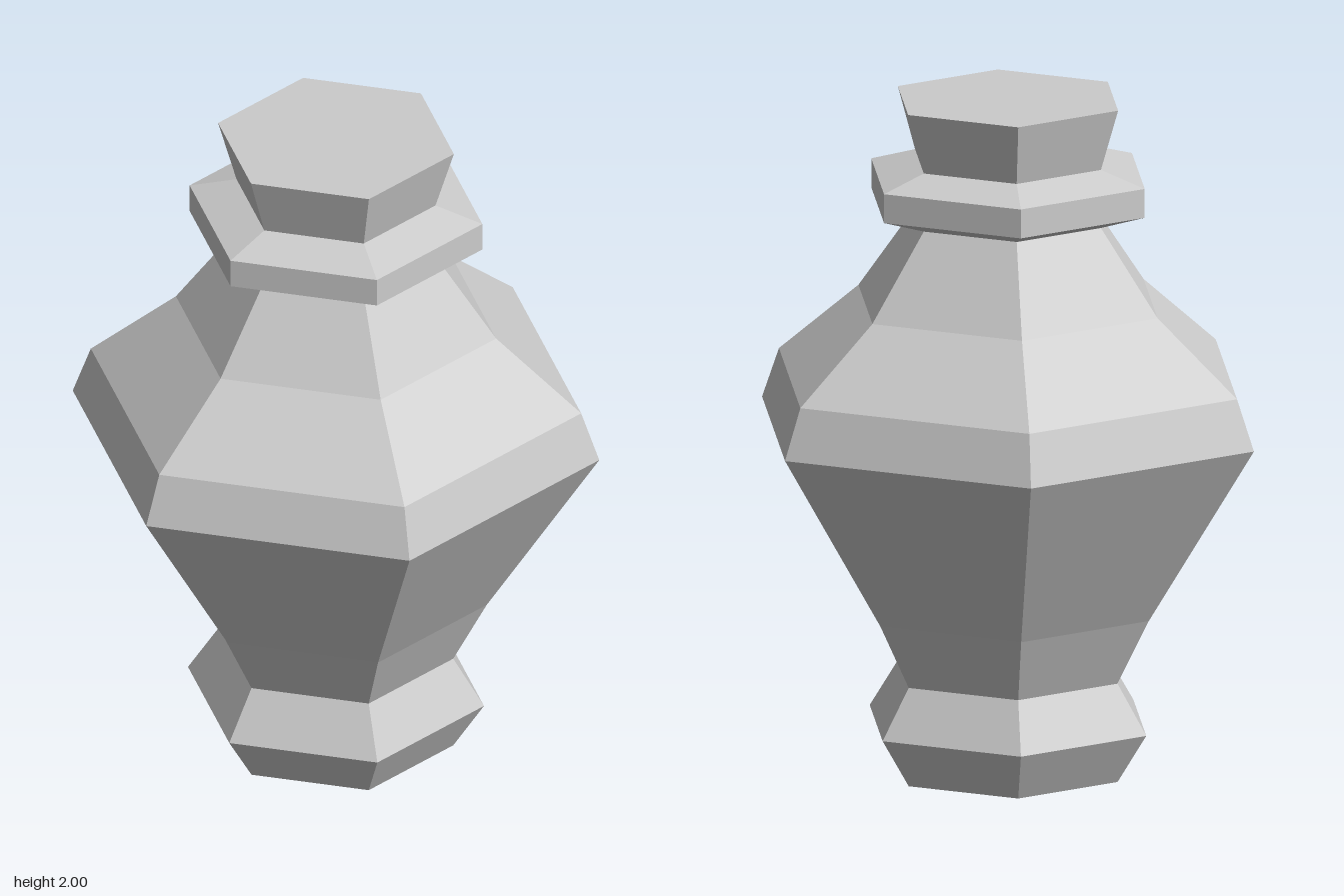
import * as THREE from 'three';

const SIDES = 6;

// Six-sided turned section from [radius, height] pairs, bottom to top, with corners on the x axis
function section(name, profile, material) {
  const points = profile.map(([r, y]) => new THREE.Vector2(r, y));
  const mesh = new THREE.Mesh(new THREE.LatheGeometry(points, SIDES, Math.PI / 2), material);
  mesh.name = name;
  return mesh;
}

export function createModel() {
  const group = new THREE.Group();
  group.name = 'vase';
  const material = new THREE.MeshStandardMaterial({ color: 0xcccccc, flatShading: true });

  group.add(
    // Flared foot with a closed underside
    section('foot', [[0, 0], [0.35, 0], [0.442, 0.147], [0.35, 0.293]], material),
    // Tapering belly and sloping shoulder
    section('body', [[0.35, 0.293], [0.45, 0.49], [0.786, 1.03], [0.732, 1.18], [0.478, 1.395], [0.297, 1.645]], material),
    // Projecting band around the neck
    section('collar', [[0.297, 1.645], [0.437, 1.69], [0.437, 1.776], [0.297, 1.818]], material),
    // Flared mouth with a flat closed top
    section('mouth', [[0.297, 1.818], [0.352, 2], [0, 2]], material),
  );
  return group;
}
